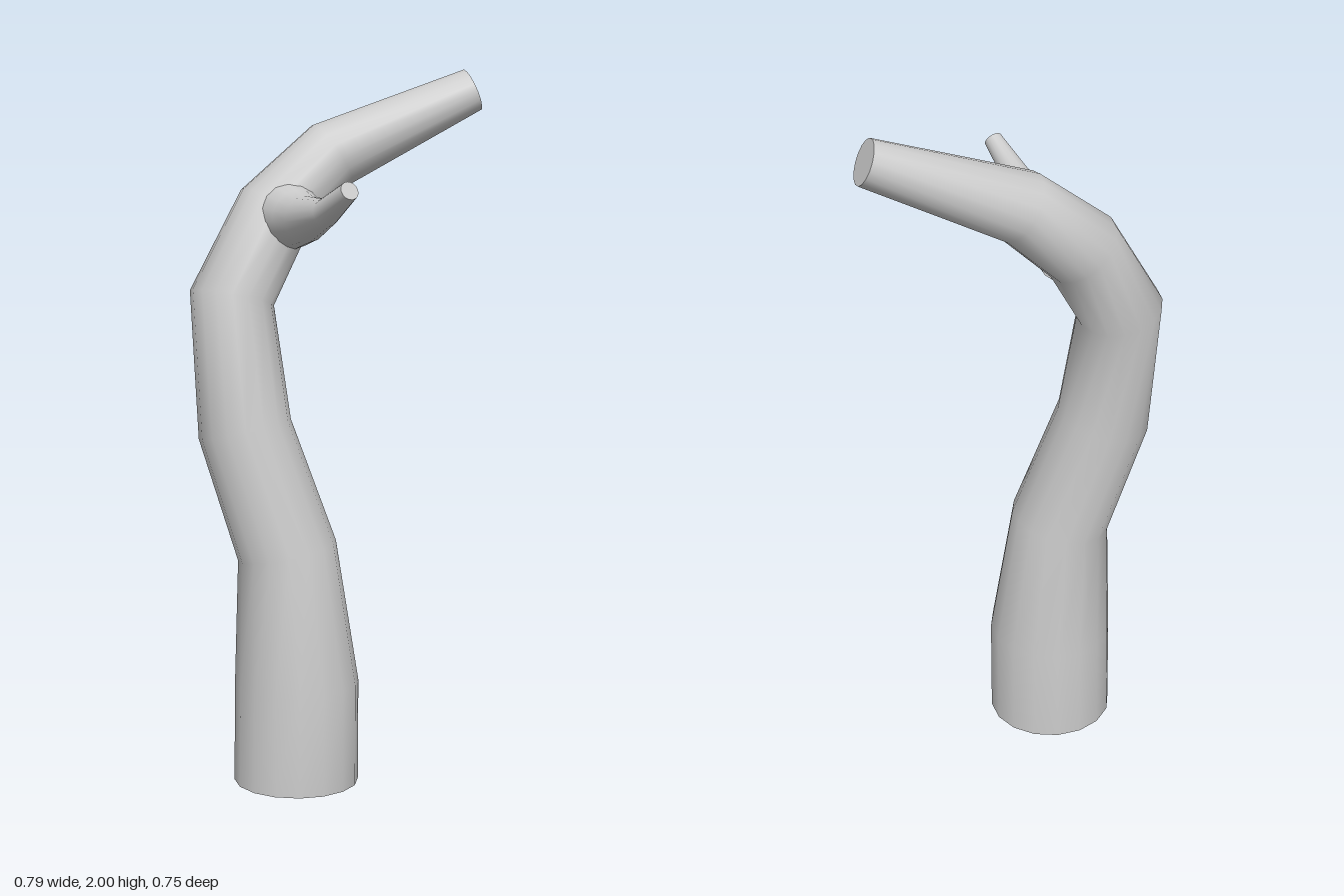
import * as THREE from 'three';

const SIDES = 16;

// Skin a limb with round rings; each station is [x, y, z, radius].
function limb(name, stations, material) {
  const centres = stations.map(([x, y, z]) => new THREE.Vector3(x, y, z));
  const last = centres.length - 1;
  const direction = (i) => centres[i + 1].clone().sub(centres[i]).normalize();
  const positions = [];
  const indices = [];
  const u = new THREE.Vector3(1, 0, 0);
  let previous = new THREE.Vector3(0, 1, 0);
  const rings = [];

  // Rings sit on the bisector of each bend, carried along without twisting
  centres.forEach((centre, i) => {
    const t = direction(Math.max(i - 1, 0)).add(direction(Math.min(i, last - 1))).normalize();
    u.applyQuaternion(new THREE.Quaternion().setFromUnitVectors(previous, t));
    previous = t;
    const v = t.clone().cross(u);
    const ring = [];
    for (let j = 0; j < SIDES; j++) {
      const a = ((j + 0.5) / SIDES) * Math.PI * 2;
      const r = stations[i][3];
      ring.push(centre.clone().addScaledVector(u, r * Math.cos(a)).addScaledVector(v, r * Math.sin(a)));
    }
    rings.push(ring);
    ring.forEach((p) => positions.push(p.x, p.y, p.z));
  });

  // Bark between the rings
  for (let i = 0; i < last; i++) {
    for (let j = 0; j < SIDES; j++) {
      const a = i * SIDES + j;
      const b = i * SIDES + ((j + 1) % SIDES);
      indices.push(a, b, b + SIDES, a, b + SIDES, a + SIDES);
    }
  }

  // Flat sawn ends with their own vertices for a sharp edge
  [0, last].forEach((i) => {
    const start = positions.length / 3;
    rings[i].forEach((p) => positions.push(p.x, p.y, p.z));
    for (let j = 1; j < SIDES - 1; j++) {
      if (i === 0) indices.push(start, start + j + 1, start + j);
      else indices.push(start, start + j, start + j + 1);
    }
  });

  const geometry = new THREE.BufferGeometry();
  geometry.setAttribute('position', new THREE.Float32BufferAttribute(positions, 3));
  geometry.setIndex(indices);
  geometry.computeVertexNormals();
  const mesh = new THREE.Mesh(geometry, material);
  mesh.name = name;
  return mesh;
}

export function createModel() {
  const group = new THREE.Group();
  group.name = 'treeTrunk';
  const material = new THREE.MeshStandardMaterial({ color: 0xcccccc });

  // Main trunk, sweeping over into the cut upper limb
  group.add(limb('trunk', [
    [-0.095, 0, 0.045, 0.177],
    [-0.093, 0.285, 0.045, 0.176],
    [-0.12, 0.67, 0.043, 0.141],
    [-0.238, 1.015, 0.045, 0.132],
    [-0.278, 1.38, 0.01, 0.119],
    [-0.175, 1.61, -0.09, 0.112],
    [-0.022, 1.768, -0.182, 0.1],
    [0.362, 1.945, -0.32, 0.063],
  ], material));

  // Side branch with a flared root, ending in an upturned stub
  group.add(limb('branch', [
    [-0.15, 1.605, -0.09, 0.1],
    [-0.115, 1.605, -0.025, 0.092],
    [-0.088, 1.606, 0.02, 0.078],
    [-0.055, 1.61, 0.09, 0.064],
    [0.02, 1.643, 0.256, 0.038],
    [0.095, 1.71, 0.352, 0.026],
  ], material));

  return group;
}
